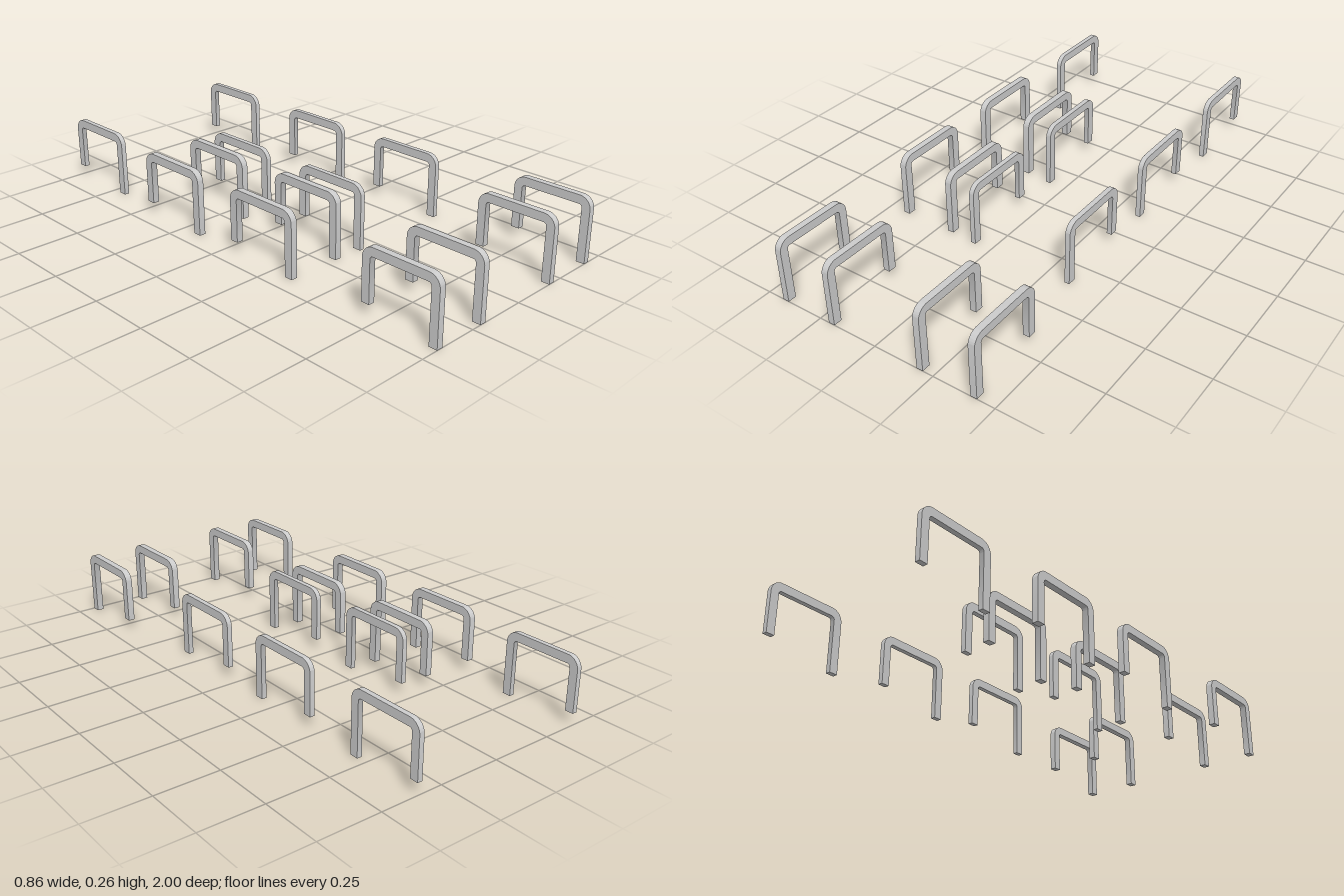
import * as THREE from 'three';
import { toCreasedNormals } from 'three/addons/utils/BufferGeometryUtils.js';

const SPAN = 0.32, TOP = 0.257, BAR = 0.034, SHORT_END = 0.046;
const OUTER_R = 0.046, INNER_R = 0.012;

// Hoop profile: long leg at the front (u = 0), short leg at the back (u = SPAN)
function hoopGeometry(width) {
  const s = new THREE.Shape();
  const inTop = TOP - BAR, inBack = SPAN - BAR;
  s.moveTo(0, 0);
  s.lineTo(BAR, 0);
  s.lineTo(BAR, inTop - INNER_R);
  s.absarc(BAR + INNER_R, inTop - INNER_R, INNER_R, Math.PI, Math.PI / 2, true);
  s.lineTo(inBack - INNER_R, inTop);
  s.absarc(inBack - INNER_R, inTop - INNER_R, INNER_R, Math.PI / 2, 0, true);
  s.lineTo(inBack, SHORT_END);
  s.lineTo(SPAN, SHORT_END);
  s.lineTo(SPAN, TOP - OUTER_R);
  s.absarc(SPAN - OUTER_R, TOP - OUTER_R, OUTER_R, 0, Math.PI / 2, false);
  s.lineTo(OUTER_R, TOP);
  s.absarc(OUTER_R, TOP - OUTER_R, OUTER_R, Math.PI / 2, Math.PI, false);
  s.closePath();
  const g = new THREE.ExtrudeGeometry(s, { depth: width, bevelEnabled: false, curveSegments: 8 });
  g.translate(0, 0, -width / 2);
  g.rotateY(Math.PI / 2); // profile u runs towards -z
  return toCreasedNormals(g, 0.6);
}

export function createModel() {
  const group = new THREE.Group();
  group.name = 'hoops';
  const material = new THREE.MeshStandardMaterial({ color: 0xcccccc });
  const wide = hoopGeometry(0.026), narrow = hoopGeometry(0.02);

  // Each row: z of the long leg's front face and the x centres of its hoops
  const rows = [
    { name: 'wideHoop', geometry: wide, z: 1, xs: [-0.417, -0.197, 0.195, 0.416] },
    { name: 'wideHoop', geometry: wide, z: 0.352, xs: [-0.417, -0.197] },
    { name: 'wideHoop', geometry: wide, z: -0.152, xs: [-0.417, -0.197] },
    { name: 'narrowHoop', geometry: narrow, z: 0.361, xs: [-0.08, 0.345] },
    { name: 'narrowHoop', geometry: narrow, z: -0.142, xs: [-0.08, 0.345] },
    { name: 'narrowHoop', geometry: narrow, z: -0.68, xs: [-0.39, 0.345] },
  ];
  for (const { name, geometry, z, xs } of rows) {
    for (const x of xs) {
      const hoop = new THREE.Mesh(geometry, material);
      hoop.name = name;
      hoop.position.set(x, 0, z);
      group.add(hoop);
    }
  }
  return group;
}
